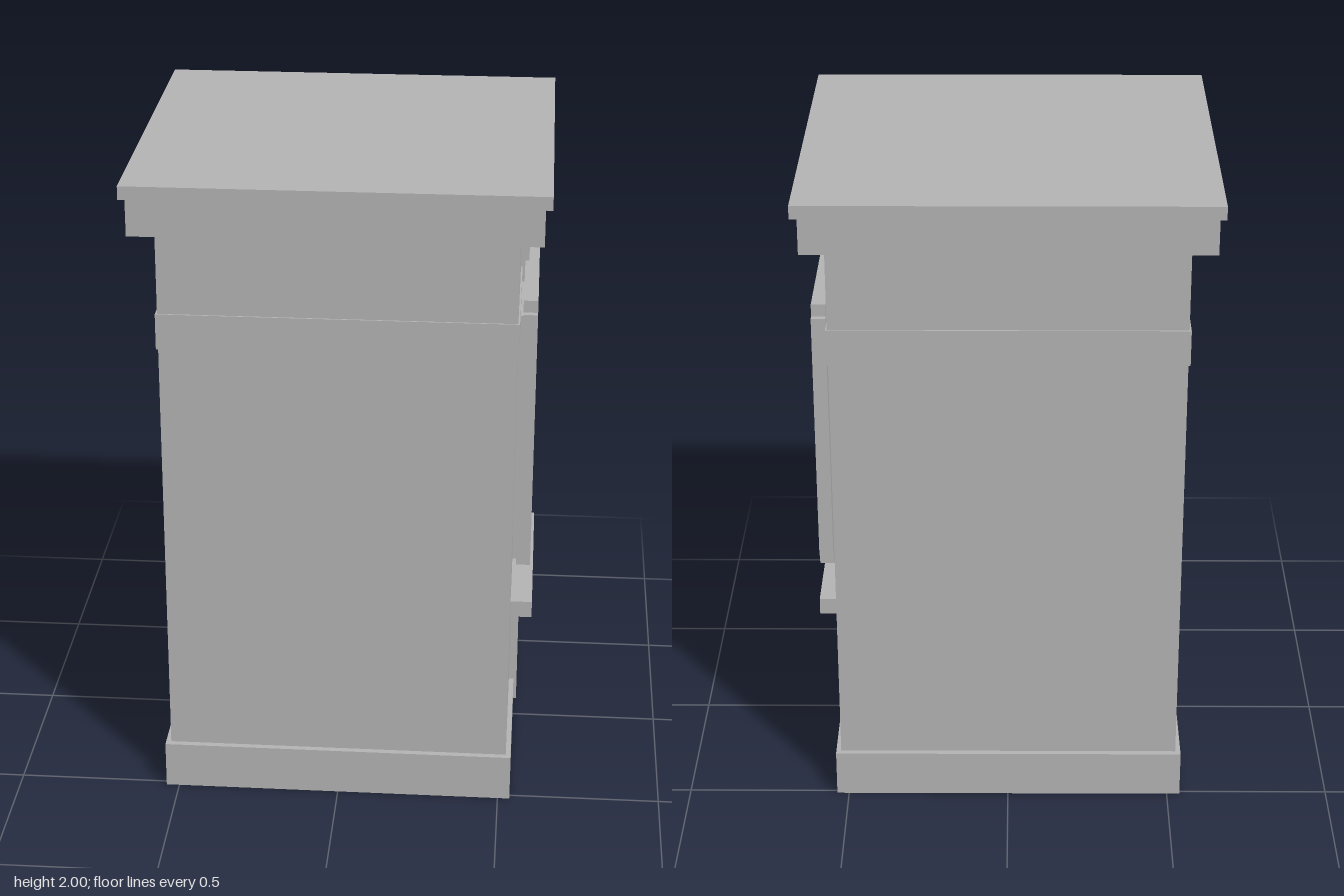
import * as THREE from 'three';

export function createModel() {
  const root = new THREE.Group();
  root.name = 'pedestal';
  const grey = new THREE.MeshStandardMaterial({ color: 0xb4b4b4, side: THREE.DoubleSide });
  grey.name = 'plain grey';

  // Box given by its [min, max] range on each axis
  function block(name, [x0, x1], [y0, y1], [z0, z1]) {
    const mesh = new THREE.Mesh(new THREE.BoxGeometry(x1 - x0, y1 - y0, z1 - z0), grey);
    mesh.position.set((x0 + x1) / 2, (y0 + y1) / 2, (z0 + z1) / 2);
    mesh.name = name;
    root.add(mesh);
    return mesh;
  }

  // Stacked column, from the ground up
  const base = block('basePlinth', [-0.54, 0.537], [0, 0.147], [-0.513, 0.519]);
  block('body', [-0.524, 0.522], [0.147, 1.845], [-0.495, 0.5]);
  block('upperBand', [-0.53, 0.527], [1.475, 1.585], [-0.5, 0.505]);
  block('cornice', [-0.595, 0.59], [1.845, 1.96], [-0.563, 0.567]);
  block('topSlab', [-0.612, 0.61], [1.96, 2], [-0.585, 0.585]);

  // The plinth is hollow and open underneath: drop its bottom face
  const index = Array.from(base.geometry.index.array);
  index.splice(18, 6);
  base.geometry.setIndex(index);
  base.geometry.clearGroups();

  // Fittings on the left side
  block('pole', [0.51, 0.547], [0.075, 1.845], [-0.022, 0.026]);
  block('ledge', [0.515, 0.588], [0.535, 0.588], [-0.313, 0.317]);
  block('framedPanel', [0.515, 0.557], [0.81, 1.535], [-0.304, 0.31]);

  // Frame with notched corners around the panel
  const w = 0.38, h = 0.432, nx = 0.02, ny = 0.037;
  const outline = [];
  for (const [sx, sy] of [[1, 1], [-1, 1], [-1, -1], [1, -1]]) {
    const corner = [[w, h - ny], [w - nx, h - ny], [w - nx, h]];
    if (sx * sy < 0) corner.reverse();
    for (const [x, y] of corner) outline.push(new THREE.Vector2(sx * x, sy * y));
  }
  const shape = new THREE.Shape(outline);
  const iw = 0.307, ih = 0.3625;
  shape.holes.push(new THREE.Path([
    new THREE.Vector2(-iw, -ih), new THREE.Vector2(-iw, ih),
    new THREE.Vector2(iw, ih), new THREE.Vector2(iw, -ih),
  ]));
  const frame = new THREE.Mesh(
    new THREE.ExtrudeGeometry(shape, { depth: 0.043, bevelEnabled: false }), grey);
  frame.rotation.y = Math.PI / 2;
  frame.position.set(0.535, 1.1725, 0.003);
  frame.name = 'panelFrame';
  root.add(frame);

  // Flat panel on the right side
  block('sidePanel', [-0.54, -0.515], [0.588, 1.575], [-0.23, 0.225]);

  return root;
}
